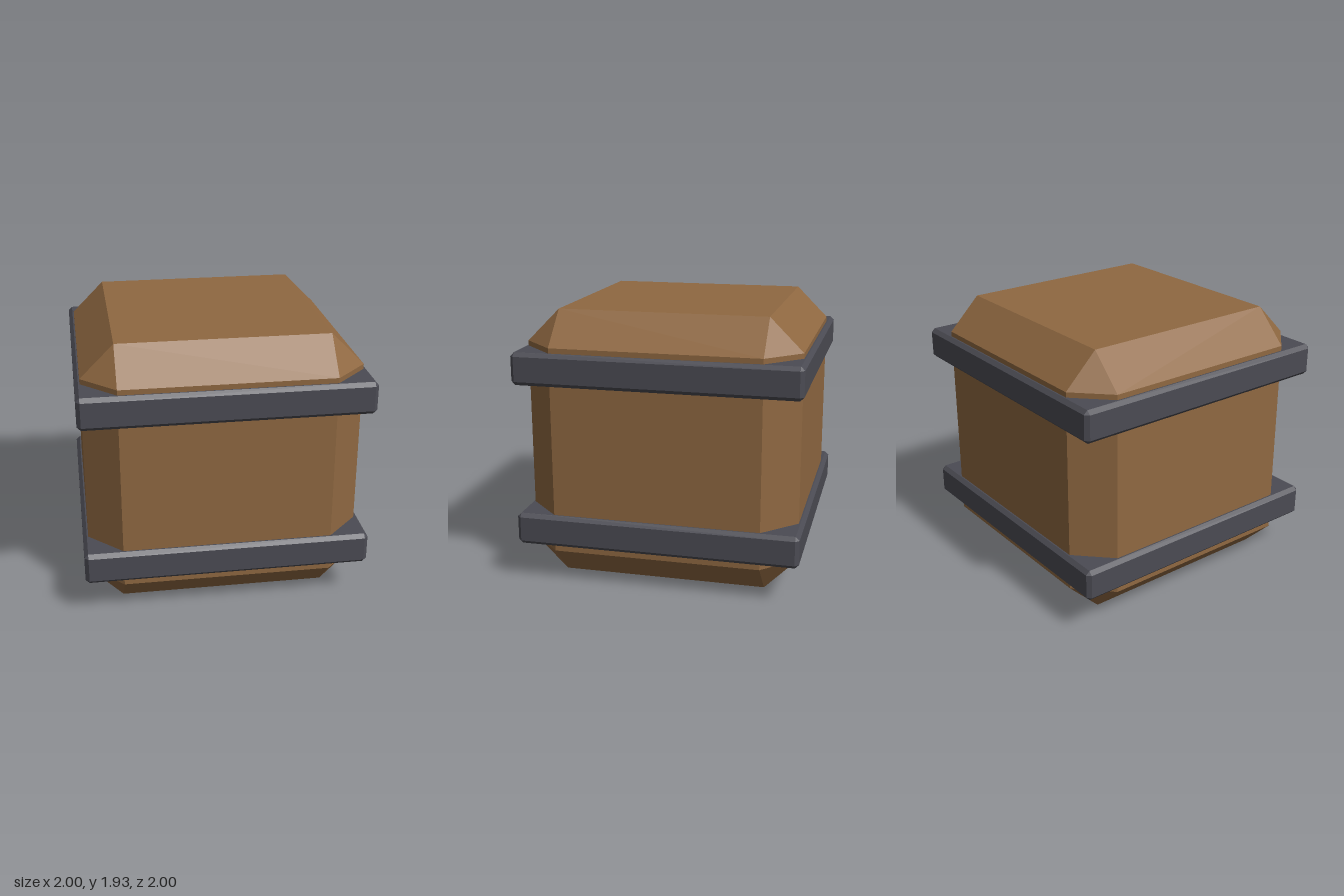
import * as THREE from 'three';
import { ConvexGeometry } from 'three/addons/geometries/ConvexGeometry.js';

// Cuboid with half sizes w, h, d whose edges and corners are cut by a flat bevel
function chamferedBox(w, h, d, bevel) {
  const points = [];
  for (const sx of [-1, 1]) for (const sy of [-1, 1]) for (const sz of [-1, 1]) {
    const [x, y, z] = [w - bevel, h - bevel, d - bevel];
    points.push(
      new THREE.Vector3(sx * w, sy * y, sz * z),
      new THREE.Vector3(sx * x, sy * h, sz * z),
      new THREE.Vector3(sx * x, sy * y, sz * d)
    );
  }
  return new ConvexGeometry(points);
}

export function createModel() {
  const model = new THREE.Group();
  model.name = 'barrel';

  const wood = new THREE.MeshStandardMaterial({ color: 0x8f6841 });
  wood.name = 'brown wood';
  const iron = new THREE.MeshStandardMaterial({ color: 0x4b4b53 });
  iron.name = 'dark iron';

  // Wooden body with broad bevels
  const body = new THREE.Mesh(chamferedBox(0.963, 0.963, 0.963, 0.232), wood);
  body.name = 'body';
  body.position.y = 0.963;
  model.add(body);

  // Two iron bands around the body
  const bandGeometry = chamferedBox(1, 0.114, 1, 0.027);
  for (const [name, y] of [['lowerBand', 0.388], ['upperBand', 1.544]]) {
    const band = new THREE.Mesh(bandGeometry, iron);
    band.name = name;
    band.position.y = y;
    model.add(band);
  }

  return model;
}
